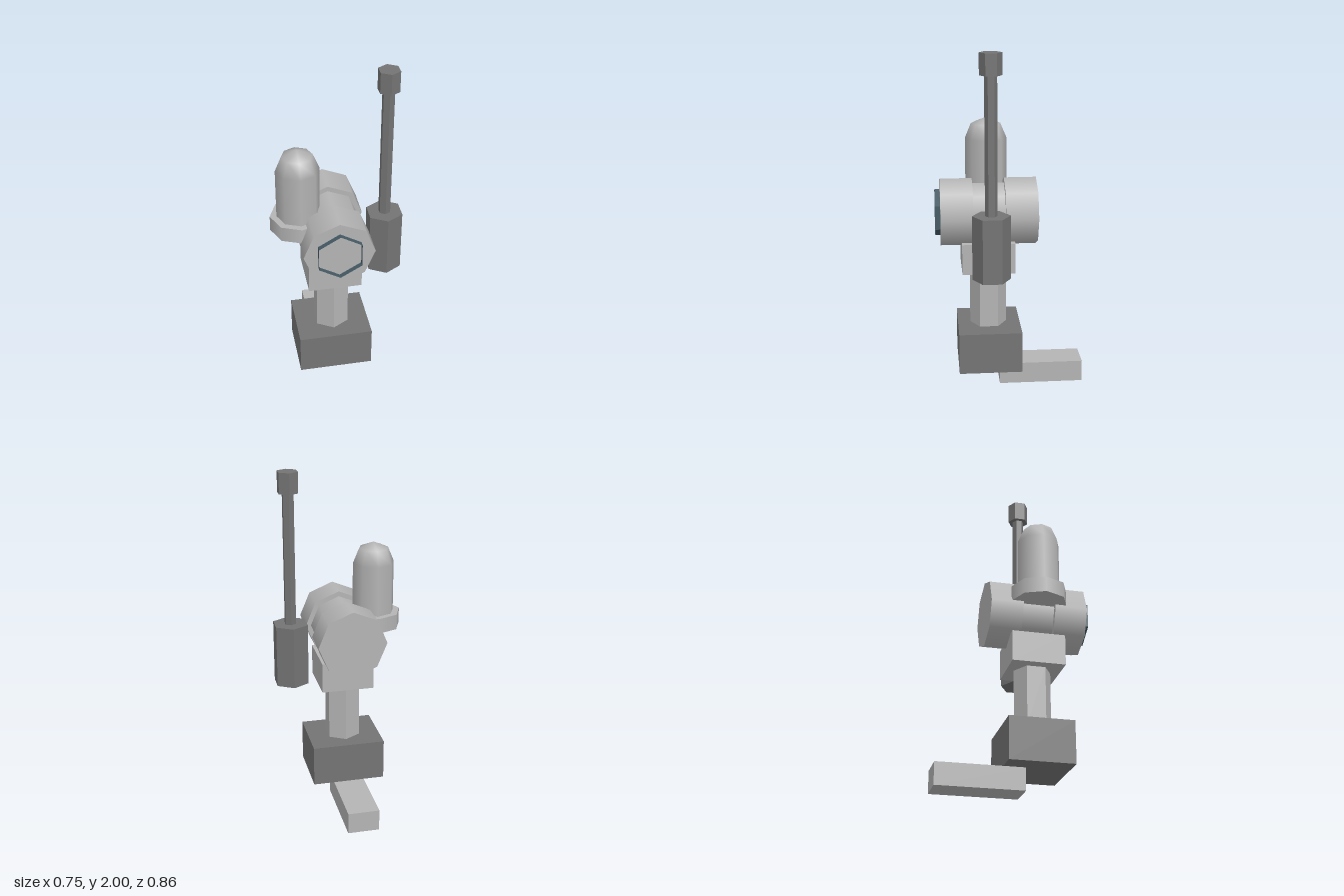
import * as THREE from 'three';

const mat = (name, color, extra = {}) => {
  const m = new THREE.MeshStandardMaterial({ color, ...extra });
  m.name = name;
  return m;
};

export function createModel() {
  const group = new THREE.Group();
  const light = mat('light grey', 0xb4b4b4);
  const lightFlat = light.clone();
  lightFlat.flatShading = true;
  const dark = mat('dark grey', 0x747474, { flatShading: true });
  const blue = mat('slate blue', 0x455a64, { flatShading: true, side: THREE.DoubleSide });

  const add = (name, geometry, material, x, y, z) => {
    const mesh = new THREE.Mesh(geometry, material);
    mesh.name = name;
    mesh.position.set(x, y, z);
    group.add(mesh);
    return mesh;
  };
  // box given by its min and max corners
  const box = (name, material, [x0, y0, z0], [x1, y1, z1]) =>
    add(name, new THREE.BoxGeometry(x1 - x0, y1 - y0, z1 - z0), material,
      (x0 + x1) / 2, (y0 + y1) / 2, (z0 + z1) / 2);
  // upright prism from y0 to y1
  const prism = (name, material, r, sides, x, z, y0, y1) =>
    add(name, new THREE.CylinderGeometry(r, r, y1 - y0, sides), material, x, (y0 + y1) / 2, z);
  // prism lying along z, from z0 to z1
  const barrel = (name, material, r, sides, z0, z1, open = false) => {
    const g = new THREE.CylinderGeometry(r, r, z1 - z0, sides, 1, open).rotateX(Math.PI / 2);
    return add(name, g, material, -0.03, 1.05, (z0 + z1) / 2);
  };

  // Stand
  box('footBar', light, [-0.122, 0, -0.432], [0.062, 0.127, 0.062]);
  box('base', dark, [-0.245, 0.127, -0.061], [0.185, 0.37, 0.306]);
  prism('post', lightFlat, 0.107, 6, -0.03, 0.125, 0.37, 0.716);
  box('mountBlock', light, [-0.184, 0.716, -0.026], [0.122, 0.895, 0.28]);

  // Horizontal barrel with a narrower waist
  barrel('rearBarrel', light, 0.2, 8, -0.155, 0.03);
  barrel('barrelWaist', light, 0.17, 8, 0.03, 0.215);
  barrel('frontBarrel', light, 0.2, 8, 0.215, 0.4);
  barrel('lensRim', blue, 0.138, 6, 0.4, 0.43, true);

  // Domed canister on a collar
  prism('canisterCollar', light, 0.16, 8, -0.214, 0.122, 1.063, 1.153);
  prism('canisterBody', light, 0.122, 8, -0.214, 0.122, 1.1, 1.448);
  add('canisterDome', new THREE.SphereGeometry(0.122, 8, 2, 0, Math.PI * 2, 0, Math.PI / 2),
    light, -0.214, 1.448, 0.122);

  // Hexagonal side rod
  prism('rodGrip', dark, 0.107, 6, 0.279, 0.123, 0.742, 1.11);
  prism('rodShaft', dark, 0.035, 6, 0.279, 0.123, 1.11, 1.88);
  prism('rodTip', dark, 0.062, 6, 0.279, 0.123, 1.88, 2);

  return group;
}
